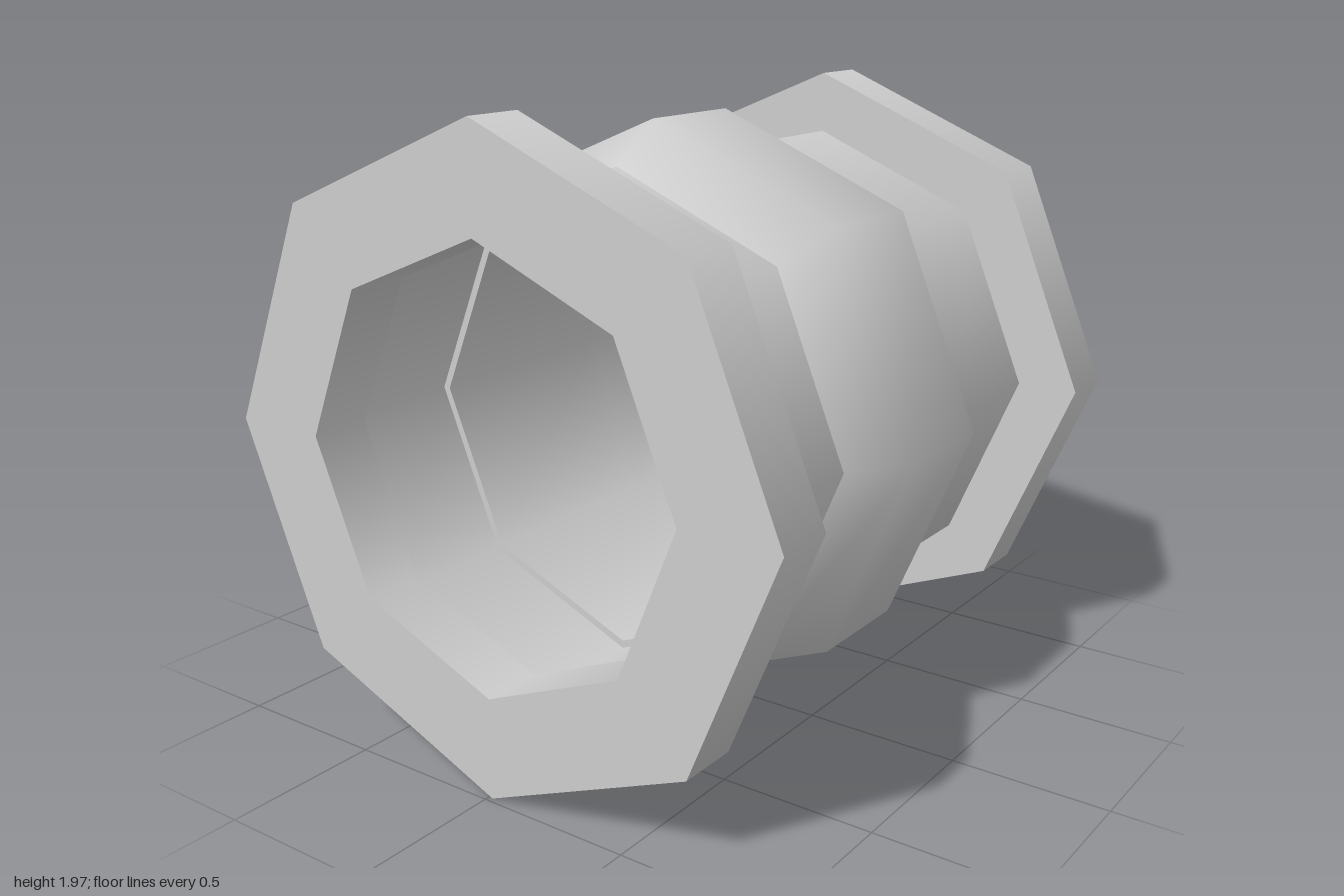
import * as THREE from 'three';
import { mergeGeometries } from 'three/addons/utils/BufferGeometryUtils.js';

const SIDES = 8;
const CENTRE_Y = 0.985;
const BODY_Z = 0.015;

// Eight-sided turned solid: each run of [radius, height] points is smooth, runs meet in sharp edges
function turned(runs) {
  return mergeGeometries(runs.map(run =>
    new THREE.LatheGeometry(run.map(([r, h]) => new THREE.Vector2(r, h)), SIDES)));
}

// Hollow ring with square corners
function ring(outer, inner, from, to) {
  return turned([
    [[outer, from], [outer, to]],
    [[outer, to], [inner, to]],
    [[inner, to], [inner, from]],
    [[inner, from], [outer, from]],
  ]);
}

export function createModel() {
  const model = new THREE.Group();
  const steel = new THREE.MeshStandardMaterial({ color: 0xcccccc });
  steel.name = 'light grey metal';

  const add = (parent, name, geometry) => {
    const mesh = new THREE.Mesh(geometry, steel);
    mesh.name = name;
    parent.add(mesh);
    return mesh;
  };

  // Body: open pipe along x
  const body = new THREE.Group();
  body.name = 'valveBody';
  body.position.set(0, CENTRE_Y, BODY_Z);
  model.add(body);

  for (const [side, label] of [[1, 'left'], [-1, 'right']]) {
    const turn = -side * Math.PI / 2;
    add(body, label + 'Flange', ring(0.983, 0.665, 0.79, 0.985).rotateZ(turn));
    add(body, label + 'Pipe', ring(0.785, 0.74, 0.36, 0.79).rotateZ(turn));
  }

  // Swollen middle with chamfered shoulders
  add(body, 'middleBulge', turned([
    [[0.785, -0.365], [0.91, -0.19], [0.91, 0.19], [0.785, 0.365]],
    [[0.785, 0.365], [0.715, 0.365]],
    [[0.715, 0.365], [0.715, -0.365]],
    [[0.715, -0.365], [0.785, -0.365]],
  ]).rotateZ(-Math.PI / 2));

  // Handwheel on the back, turned about z
  const wheel = new THREE.Group();
  wheel.name = 'handwheel';
  wheel.position.y = CENTRE_Y;
  model.add(wheel);

  add(wheel, 'wheelRim', turned([
    [[0.59, 0.805], [0.59, 0.9], [0.56, 0.97], [0.49, 1.0]],
    [[0.49, 1.0], [0.4, 1.0]],
    [[0.4, 1.0], [0.39, 0.805]],
    [[0.39, 0.805], [0.59, 0.805]],
  ]).rotateX(-Math.PI / 2));

  add(wheel, 'wheelHub', turned([
    [[0.12, 0.7], [0.12, 0.88]],
    [[0.12, 0.88], [0.155, 0.91], [0.155, 0.98]],
    [[0.155, 0.98], [0, 0.98]],
  ]).rotateX(-Math.PI / 2));

  // Four spokes, sloping back from the hub to the rim
  for (let i = 0; i < 4; i++) {
    const spoke = new THREE.BoxGeometry(0.34, 0.12, 0.08);
    spoke.rotateY(-0.33).translate(0.265, 0, -0.89).rotateZ(i * Math.PI / 2);
    add(wheel, 'wheelSpoke', spoke);
  }

  return model;
}
